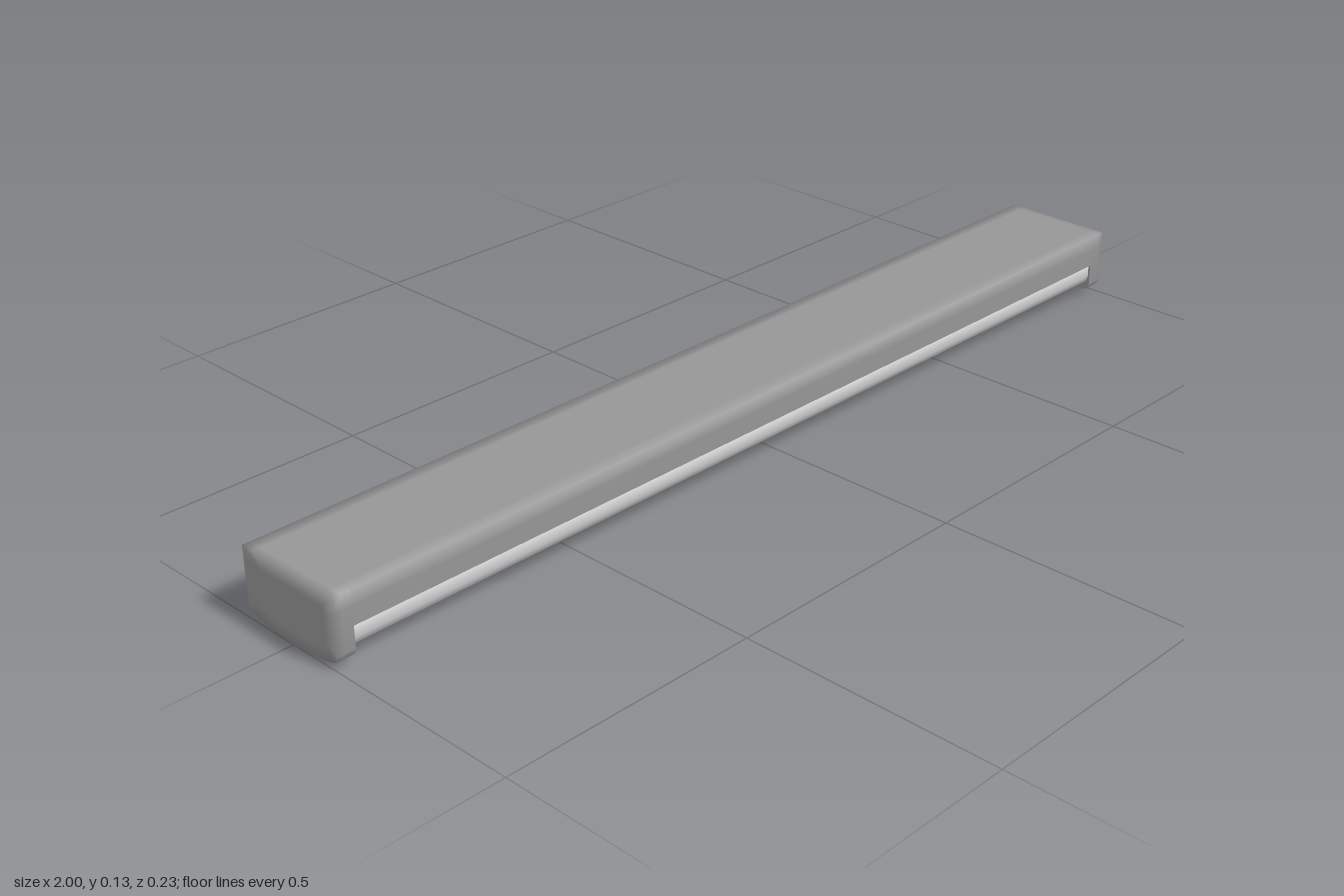
import * as THREE from 'three';

const bodyMaterial = new THREE.MeshStandardMaterial({ color: 0x969696 });
const lensMaterial = new THREE.MeshStandardMaterial({ color: 0xcccccc });

// Half profiles as [z, y], from the bottom centre up to the top; a repeated point makes a sharp edge
const topHalf = [[0.115, 0.105], [0.115, 0.135], [0.088, 0.135]];
const capHalf = [[0, 0.001], [0.035, 0.003], [0.07, 0.006], [0.1, 0.013], [0.108, 0.016], [0.113, 0.022], [0.115, 0.03], ...topHalf];
const housingHalf = [[0, 0.07], [0.115, 0.07], [0.115, 0.07], ...topHalf];
const lensHalf = [[0, 0.016], [0.035, 0.017], [0.066, 0.02], [0.095, 0.026], [0.107, 0.033], [0.111, 0.045], [0.111, 0.071]];

// Complete a half profile into a closed loop
const mirror = half => [...half, ...half.slice(1).reverse().map(([z, y]) => [-z, y])];

// Loft a profile along x through sections [x, inset, tilt];
// tilt turns the smooth normals from sideways (0) to along the axis (1)
function loft(half, sections) {
  const profile = mirror(half), n = profile.length;
  const ys = profile.map(p => p[1]), zMax = Math.max(...profile.map(p => p[0]));
  const yMid = (Math.min(...ys) + Math.max(...ys)) / 2, yHalf = Math.max(...ys) - yMid;
  const edges = profile.map(([z, y], i) => {
    const [z2, y2] = profile[(i + 1) % n];
    const length = Math.hypot(z2 - z, y2 - y) || 1;
    return [(y2 - y) / length, (z - z2) / length];
  });
  const pos = [], normals = [], index = [], normal = new THREE.Vector3();
  for (const [x, inset, tilt] of sections) {
    profile.forEach(([z, y], i) => {
      const before = edges[(i + n - 1) % n], after = edges[i];
      pos.push(x, yMid + (y - yMid) * (1 - inset / yHalf), z * (1 - inset / zMax));
      normal.set(0, before[1] + after[1], before[0] + after[0]).normalize();
      normal.multiplyScalar(1 - Math.abs(tilt)).setX(tilt).normalize();
      normals.push(...normal.toArray());
    });
  }
  for (let s = 0; s < sections.length - 1; s++) {
    for (let i = 0; i < n; i++) {
      const a = s * n + i, b = s * n + (i + 1) % n;
      index.push(a, b + n, b, a, a + n, b + n);
    }
  }
  // End faces as fans around a centre point
  const first = sections.length * n, last = first + 1, end = first - n;
  pos.push(sections[0][0], yMid, 0, sections.at(-1)[0], yMid, 0);
  normals.push(-1, 0, 0, 1, 0, 0);
  for (let i = 0; i < n; i++) {
    const j = (i + 1) % n;
    index.push(first, i, j, last, end + j, end + i);
  }
  const geometry = new THREE.BufferGeometry();
  geometry.setAttribute('position', new THREE.Float32BufferAttribute(pos, 3));
  geometry.setAttribute('normal', new THREE.Float32BufferAttribute(normals, 3));
  geometry.setIndex(index);
  return geometry;
}

export function createModel() {
  const group = new THREE.Group();
  group.name = 'linearLightFixture';
  const add = (name, geometry, material) => {
    const mesh = new THREE.Mesh(geometry, material);
    mesh.name = name;
    group.add(mesh);
    return mesh;
  };

  // Long upper body and the light cover set just inside it
  add('housing', loft(housingHalf, [[-0.965, 0, 0], [0.965, 0, 0]]), bodyMaterial);
  add('diffuser', loft(lensHalf, [[-0.966, 0, 0], [0.966, 0, 0]]), lensMaterial);

  // Matching end caps: sharp inner rim, softly shaded outer rim
  const cap = loft(capHalf, [[0.965, 0, -1], [0.965, 0, 0], [0.985, 0, 0], [1, 0, 0.5], [1, 0.027, 1]]);
  add('leftEndCap', cap, bodyMaterial);
  add('rightEndCap', cap, bodyMaterial).rotation.y = Math.PI;
  return group;
}
